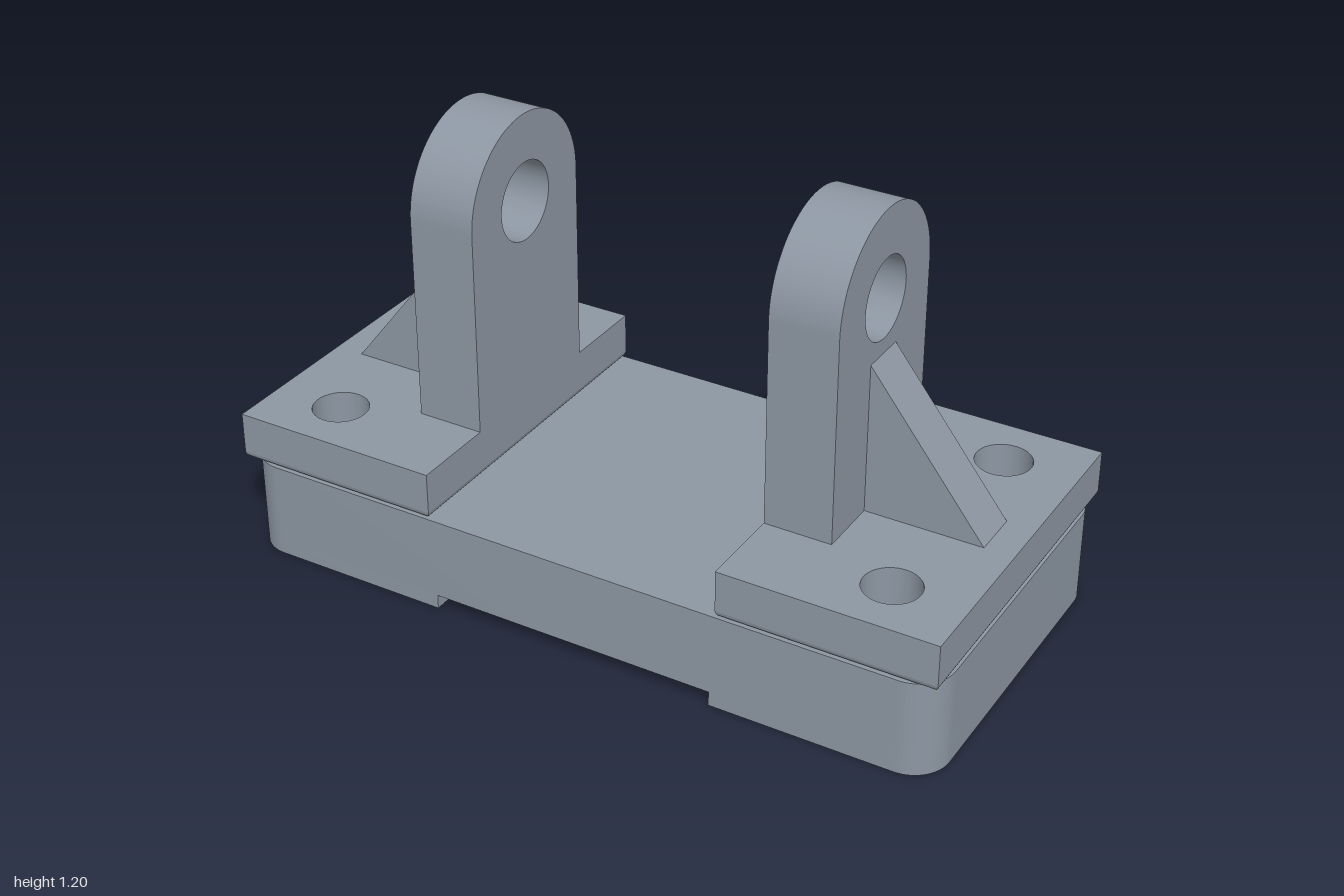
import * as THREE from 'three';
import { toCreasedNormals } from 'three/addons/utils/BufferGeometryUtils.js';

const steel = new THREE.MeshStandardMaterial({ color: 0x8d97a3 });
steel.name = 'steel grey';

function part(name, geometry) {
  const mesh = new THREE.Mesh(toCreasedNormals(geometry, 0.5), steel);
  mesh.name = name;
  return mesh;
}

function extrude(shape, depth) {
  return new THREE.ExtrudeGeometry(shape, { depth, bevelEnabled: false, curveSegments: 32 });
}

// Extrude a plan outline upwards from y0 to y1
function slab(shape, y0, y1) {
  return extrude(shape, y1 - y0).rotateX(-Math.PI / 2).translate(0, y0, 0);
}

// Plan rectangle with separate corner radii at its low-x and high-x ends
function outline(x0, x1, halfZ, rLow, rHigh) {
  const s = new THREE.Shape();
  s.moveTo(x0 + rLow, -halfZ);
  s.lineTo(x1 - rHigh, -halfZ);
  if (rHigh) s.absarc(x1 - rHigh, -halfZ + rHigh, rHigh, -Math.PI / 2, 0);
  s.lineTo(x1, halfZ - rHigh);
  if (rHigh) s.absarc(x1 - rHigh, halfZ - rHigh, rHigh, 0, Math.PI / 2);
  s.lineTo(x0 + rLow, halfZ);
  if (rLow) s.absarc(x0 + rLow, halfZ - rLow, rLow, Math.PI / 2, Math.PI);
  s.lineTo(x0, -halfZ + rLow);
  if (rLow) s.absarc(x0 + rLow, -halfZ + rLow, rLow, Math.PI, Math.PI * 1.5);
  return s;
}

function circle(x, y, r) {
  return new THREE.Path().absarc(x, y, r, 0, Math.PI * 2, true);
}

const W = 0.48, BASE_TOP = 0.267, PLATE_TOP = 0.4, INNER = 0.415, ROUND = 0.02;

function plateOutline(inset) {
  const s = outline(INNER + inset, 1 - inset, W - inset, 0, 0);
  s.holes.push(circle(0.8, 0.32, 0.075), circle(0.8, -0.32, 0.075));
  return s;
}

// Rounded lower edge of the plate, swept as stacked rectangular rings
function plateEdge() {
  const steps = 6, pos = [];
  const ring = (i) => {
    const a = (i / steps) * Math.PI / 2;
    const inset = ROUND * (1 - Math.sin(a));
    const y = BASE_TOP + ROUND * (1 - Math.cos(a));
    const x0 = INNER + inset, x1 = 1 - inset, z = W - inset;
    return [[x0, y, z], [x1, y, z], [x1, y, -z], [x0, y, -z]];
  };
  for (let i = 0; i < steps; i++) {
    const lo = ring(i), hi = ring(i + 1);
    for (let k = 0; k < 4; k++) {
      const n = (k + 1) % 4;
      pos.push(...lo[k], ...lo[n], ...hi[n], ...lo[k], ...hi[n], ...hi[k]);
    }
  }
  const g = new THREE.BufferGeometry();
  g.setAttribute('position', new THREE.Float32BufferAttribute(pos, 3));
  g.computeVertexNormals();
  return g;
}

function bracket(name) {
  const group = new THREE.Group();
  group.name = name;

  // Mounting plate with two bolt holes
  group.add(part('mountingPlate', slab(plateOutline(0), BASE_TOP + ROUND, PLATE_TOP)));
  group.add(part('mountingPlateUnderside', slab(plateOutline(ROUND), BASE_TOP, BASE_TOP + ROUND)));
  group.add(part('mountingPlateRoundedEdge', plateEdge()));

  // Upright lug with a round top and a pin hole
  const lug = new THREE.Shape();
  lug.moveTo(-0.24, PLATE_TOP);
  lug.lineTo(0.24, PLATE_TOP);
  lug.lineTo(0.24, 0.96);
  lug.absarc(0, 0.96, 0.24, 0, Math.PI);
  lug.lineTo(-0.24, PLATE_TOP);
  lug.holes.push(circle(0, 0.96, 0.108));
  group.add(part('lug', extrude(lug, 0.185).rotateY(Math.PI / 2).translate(INNER, 0, 0)));

  // Triangular stiffening rib
  const rib = new THREE.Shape();
  rib.moveTo(0.6, PLATE_TOP);
  rib.lineTo(0.92, PLATE_TOP);
  rib.lineTo(0.6, 0.81);
  group.add(part('rib', extrude(rib, 0.134).translate(0, 0, -0.067)));
  return group;
}

export function createModel() {
  const model = new THREE.Group();
  model.name = 'clevisMount';

  // Base block standing on two shallow feet
  model.add(part('base', slab(outline(-1, 1, W, 0.1, 0.1), 0.04, BASE_TOP)));
  model.add(part('leftFoot', slab(outline(0.4, 1, W, 0, 0.1), 0, 0.04)));
  model.add(part('rightFoot', slab(outline(-1, -0.4, W, 0.1, 0), 0, 0.04)));

  // Two brackets facing each other
  const left = bracket('leftBracket');
  const right = bracket('rightBracket');
  right.rotation.y = Math.PI;
  model.add(left, right);
  return model;
}
